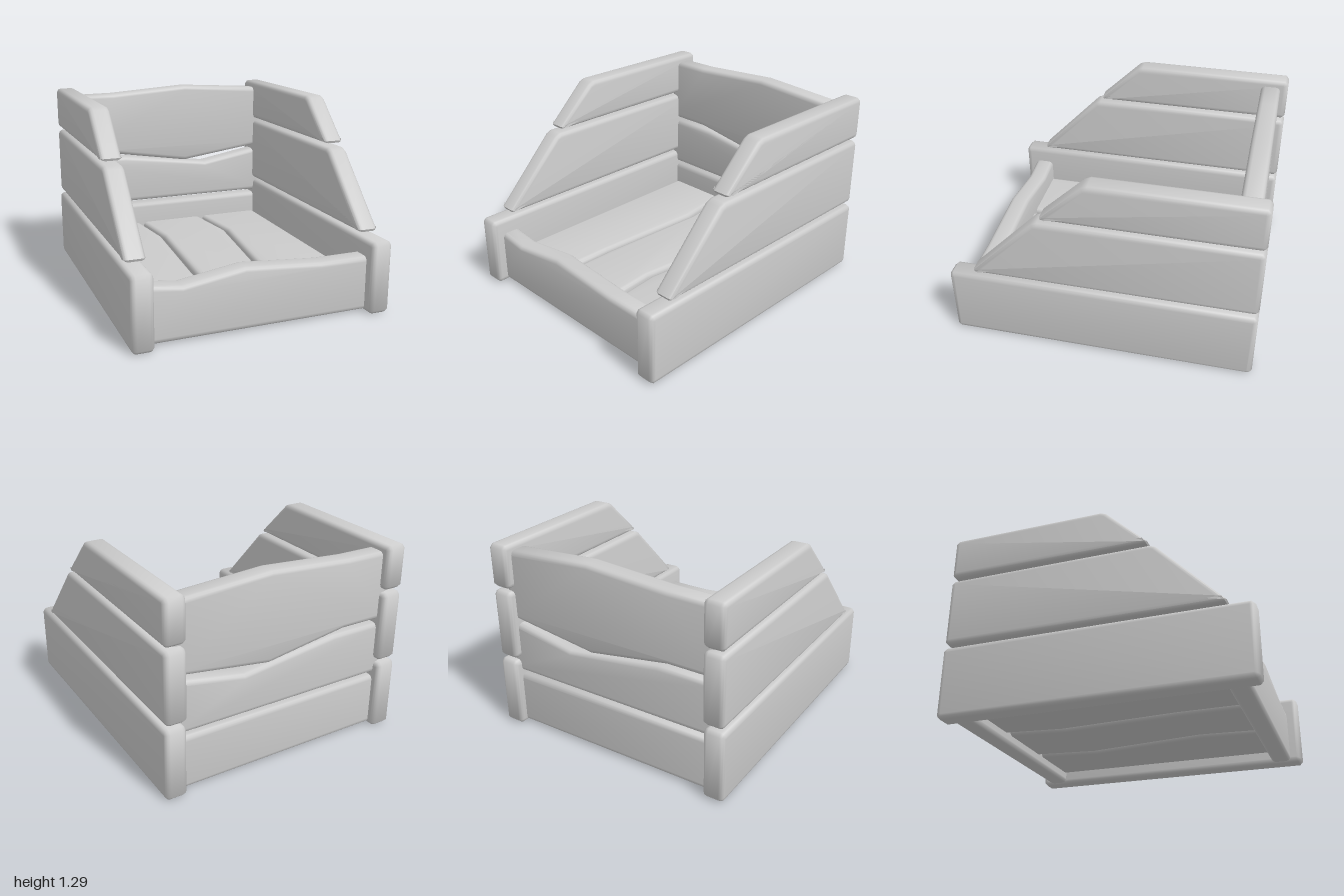
import * as THREE from 'three';
import { toCreasedNormals } from 'three/addons/utils/BufferGeometryUtils.js';

const material = new THREE.MeshStandardMaterial({ color: 0xcccccc });
const BEVEL = 0.03;

// Cut the sharp corners of an outline, leaving gentle bends alone
function clipCorners(points, cut = 0.022) {
  const out = [];
  points.forEach((p, i) => {
    const a = points[(i + points.length - 1) % points.length].clone().sub(p).normalize();
    const b = points[(i + 1) % points.length].clone().sub(p).normalize();
    if (a.dot(b) < -0.85) out.push(p);
    else out.push(p.clone().addScaledVector(a, cut), p.clone().addScaledVector(b, cut));
  });
  return out;
}

// A plank with rounded edges: outline in the xy plane, thickness from w0 to w1
function plankGeometry(outline, w0, w1) {
  const points = clipCorners(outline.map(([x, y]) => new THREE.Vector2(x, y)));
  const geometry = new THREE.ExtrudeGeometry(new THREE.Shape(points), {
    depth: w1 - w0 - 2 * BEVEL, bevelEnabled: true, bevelThickness: BEVEL,
    bevelSize: BEVEL, bevelOffset: -BEVEL, bevelSegments: 3,
  });
  return geometry.translate(0, 0, w0 + BEVEL);
}

export function createModel() {
  const group = new THREE.Group();
  const add = (name, geometry) => {
    const mesh = new THREE.Mesh(toCreasedNormals(geometry, 0.87), material);
    mesh.name = name;
    group.add(mesh);
  };

  // Side planks, outlines as [z, y], mirrored left and right
  const sides = [
    ['LowerPlank', 0.717, 0.857, [[1, 0], [1, 0.48], [-1, 0.48], [-1, 0]]],
    ['MiddlePlank', 0.71, 0.85, [[0.85, 0.505], [0.4, 0.975], [-1, 0.975], [-1, 0.505]]],
    ['UpperPlank', 0.71, 0.85, [[0.375, 1], [0.075, 1.29], [-1, 1.29], [-1, 1]]],
  ];
  for (const [name, x0, x1, outline] of sides) {
    const flipped = outline.map(([z, y]) => [-z, y]);
    add('left' + name, plankGeometry(flipped, x0, x1).rotateY(Math.PI / 2));
    add('right' + name, plankGeometry(flipped, -x1, -x0).rotateY(Math.PI / 2));
  }

  // Front and back planks, outlines as [x, y], ends set into the sides
  const E = 0.78;
  add('frontPlank', plankGeometry([[-E, 0.01], [E, 0.01], [E, 0.372], [0.4, 0.372],
    [-0.12, 0.412], [-0.52, 0.35], [-E, 0.38]], 0.79, 0.925));
  const backs = [
    ['backLowerPlank', [[-E, 0.01], [E, 0.01], [E, 0.372], [-E, 0.372]]],
    ['backMiddlePlank', [[-E, 0.397], [E, 0.397], [E, 0.755], [0.29, 0.668],
      [-0.37, 0.757], [-E, 0.757]]],
    ['backUpperPlank', [[-E, 0.785], [-0.44, 0.785], [0.12, 0.695], [E, 0.785],
      [E, 1.245], [0.12, 1.286], [-0.45, 1.248], [-E, 1.245]]],
  ];
  for (const [name, outline] of backs) add(name, plankGeometry(outline, -0.947, -0.812));

  // Floor planks, parted by two wavy seams given as [x, z]
  const Z0 = -0.86, Z1 = 0.84, gap = 0.012;
  const seams = [
    [[-0.74, Z0], [-0.74, Z1]],
    [[-0.255, Z0], [-0.2, -0.43], [-0.25, 0.37], [-0.25, Z1]],
    [[0.245, Z0], [0.305, -0.4], [0.205, 0.4], [0.245, Z1]],
    [[0.74, Z0], [0.74, Z1]],
  ];
  for (let i = 0; i < 3; i++) {
    const near = seams[i].map(([x, z]) => [x + gap, -z]);
    const far = seams[i + 1].map(([x, z]) => [x - gap, -z]).reverse();
    add('floorPlank' + (i + 1), plankGeometry([...near, ...far], 0.08, 0.215).rotateX(-Math.PI / 2));
  }
  return group;
}
